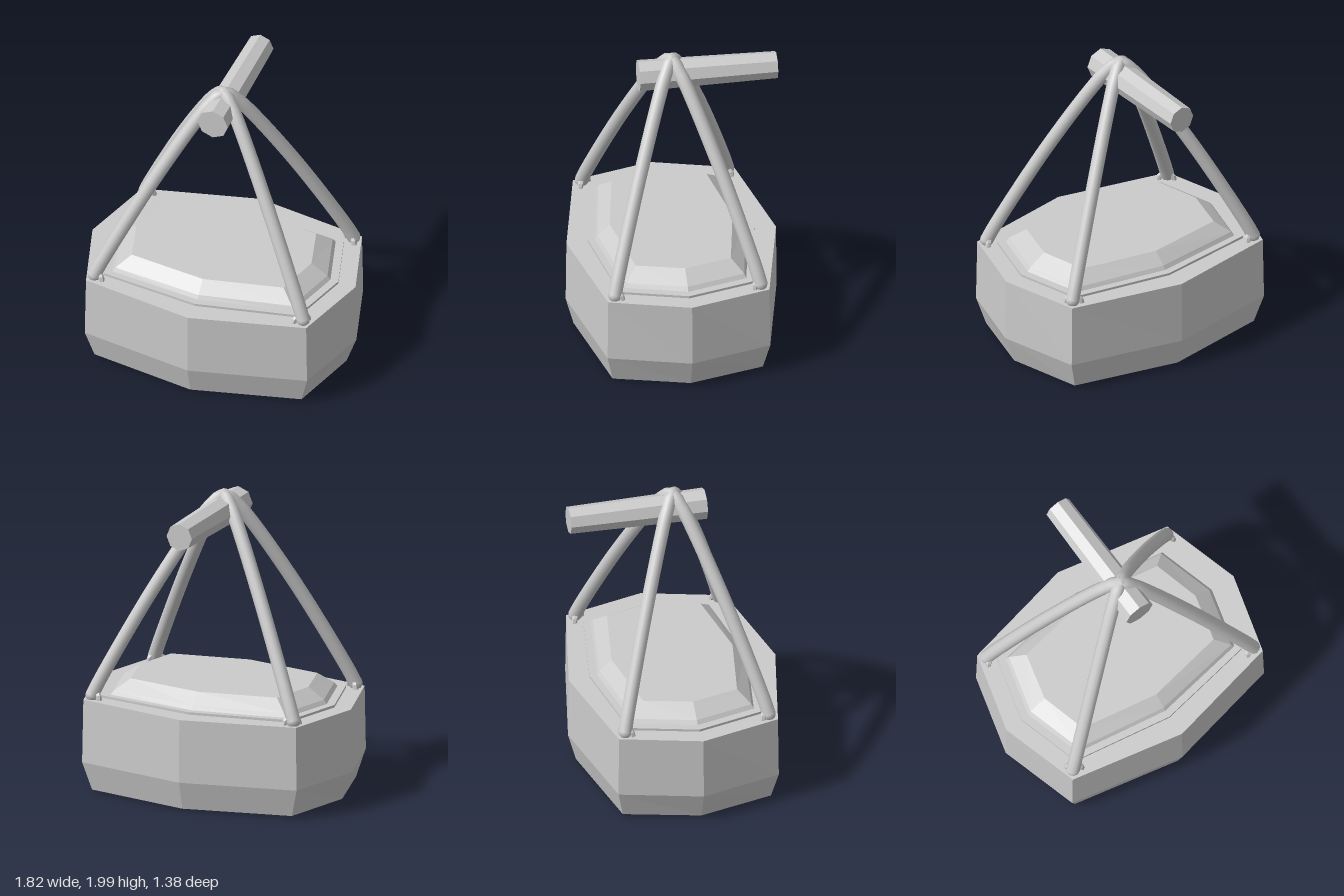
import * as THREE from 'three';

const flat = new THREE.MeshStandardMaterial({ color: 0xcccccc, flatShading: true });
const smooth = new THREE.MeshStandardMaterial({ color: 0xcccccc });

// Eight-sided outline: side point x, corner (cx, cz), front point z
function outline([y, x, cx, cz, z]) {
  return [[x, 0], [cx, cz], [0, z], [-cx, cz], [-x, 0], [-cx, -cz], [0, -z], [cx, -cz]]
    .map(([px, pz]) => [px, y, pz]);
}

// Joins rings listed from bottom to top and closes both ends with a fan
function stack(rings, bottomY, topY) {
  const pos = [];
  const tri = (a, b, c) => pos.push(...a, ...b, ...c);
  const loops = rings.map(outline);
  const first = loops[0], last = loops[loops.length - 1];
  for (let i = 0; i < 8; i++) {
    const j = (i + 1) % 8;
    for (let k = 0; k + 1 < loops.length; k++) {
      const a = loops[k], b = loops[k + 1];
      tri(a[i], b[i], b[j]);
      tri(a[i], b[j], a[j]);
    }
    tri([0, bottomY, 0], first[i], first[j]);
    tri([0, topY, 0], last[j], last[i]);
  }
  const g = new THREE.BufferGeometry();
  g.setAttribute('position', new THREE.Float32BufferAttribute(pos, 3));
  g.computeVertexNormals();
  return g;
}

export function createModel() {
  const model = new THREE.Group();
  const add = (name, geometry, material = flat) => {
    const mesh = new THREE.Mesh(geometry, material);
    mesh.name = name;
    model.add(mesh);
    return mesh;
  };

  // Basket with a tapered foot
  add('basket', stack([
    [0.012, 0.84, 0.71, 0.49, 0.637],
    [0.2, 0.908, 0.762, 0.53, 0.688],
    [0.62, 0.902, 0.755, 0.526, 0.683],
  ], 0, 0.62));

  // Thin raised rim under the lid
  add('rim', stack([
    [0.61, 0.785, 0.665, 0.435, 0.545],
    [0.636, 0.785, 0.665, 0.435, 0.545],
  ], 0.61, 0.636));

  // Bevelled lid
  add('lid', stack([
    [0.63, 0.735, 0.625, 0.4, 0.5],
    [0.662, 0.71, 0.605, 0.385, 0.48],
    [0.735, 0.6, 0.52, 0.31, 0.4],
  ], 0.63, 0.735));

  // Two ropes crossing over the pole, each joining opposite corners
  for (const s of [1, -1]) {
    const half = [[0.715, 0.645, 0.475], [0.675, 0.74, 0.45], [0.405, 1.3, 0.272],
      [0.16, 1.75, 0.107], [0.075, 1.88, 0.05]];
    const points = [
      ...half.map(([x, y, z]) => new THREE.Vector3(-x, y, -z * s)),
      new THREE.Vector3(0, 1.95, 0),
      ...half.slice().reverse().map(([x, y, z]) => new THREE.Vector3(x, y, z * s)),
    ];
    const curve = new THREE.CatmullRomCurve3(points);
    add('rope', new THREE.TubeGeometry(curve, 72, 0.045, 12), smooth);

    // Rounded rope ends
    for (const e of [points[0], points[points.length - 1]]) {
      add('ropeEnd', new THREE.SphereGeometry(0.045, 12, 8), smooth).position.copy(e);
    }
  }

  // Staples holding the rope ends on the corners
  for (const sx of [1, -1]) {
    for (const sz of [1, -1]) {
      const staple = add('staple', new THREE.TorusGeometry(0.05, 0.019, 6, 6, Math.PI));
      staple.position.set(0.697 * sx, 0.618, 0.462 * sz);
      staple.rotation.y = Math.atan2(0.63 * sx, 0.77 * sz);
    }
  }

  // Tapered eight-sided carrying pole
  const pole = add('pole', new THREE.CylinderGeometry(0.104, 0.09, 0.9, 8));
  pole.rotation.x = Math.PI / 2;
  pole.position.set(0, 1.848, -0.235);

  return model;
}
